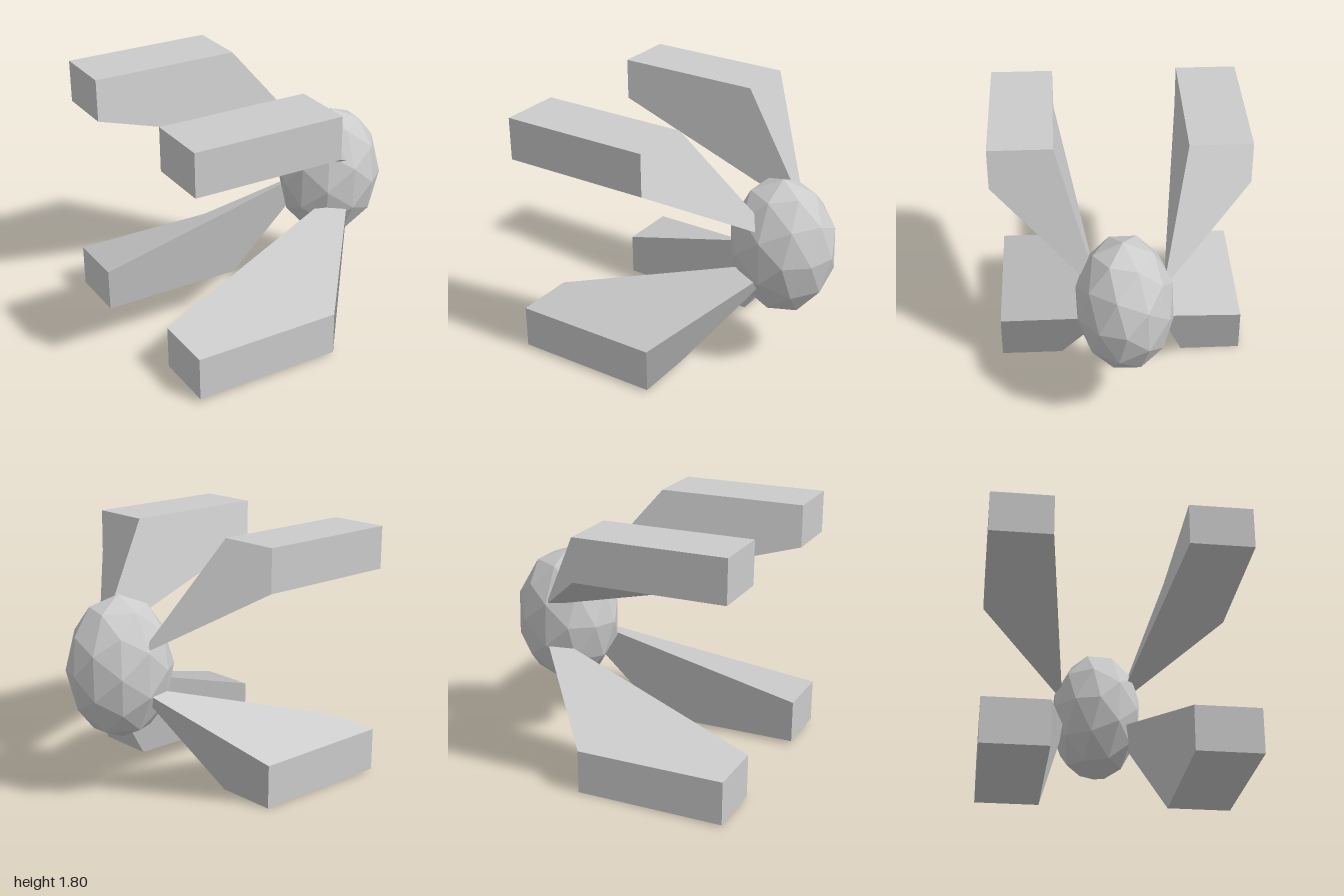
import * as THREE from 'three';

const bodyMaterial = new THREE.MeshStandardMaterial({ color: 0xcccccc, flatShading: true });
const legMaterial = new THREE.MeshStandardMaterial({ color: 0xcccccc });

const CYCLE = [[0, 0], [1, 0], [1, 1], [0, 1]];
const TIP_PARITY = [0, 1, 1]; // place of the tip in the cycle of each axis

// A slightly turned box whose inner +x corner is pulled out to a tip inside the body.
// y and z are given as [inner, outer]. Faces are quads with one normal each;
// "ridged" lists the axes whose faces fold along the diagonal through the tip.
function makeLeg(name, x, y, z, tip, ridged = []) {
  const corner = (i, j, k) => {
    if (i === 1 && j === 0 && k === 0) return new THREE.Vector3(...tip);
    const along = x[i] + 0.45;
    return new THREE.Vector3(x[i] + 0.016 * (z[k] - z[0]), y[j] - 0.009 * along, z[k] - 0.016 * along);
  };
  const centre = new THREE.Vector3();
  for (let n = 0; n < 8; n++) centre.addScaledVector(corner(n & 1, (n >> 1) & 1, n >> 2), 1 / 8);

  const positions = [];
  const normals = [];
  for (let axis = 0; axis < 3; axis++) {
    const start = ridged.includes(axis) ? TIP_PARITY[axis] : 1 - TIP_PARITY[axis];
    for (const side of [0, 1]) {
      let quad = CYCLE.map((_, n) => {
        const index = [side, side, side];
        [index[(axis + 1) % 3], index[(axis + 2) % 3]] = CYCLE[(n + start) % 4];
        return corner(...index);
      });
      const normal = quad[2].clone().sub(quad[0]).cross(quad[3].clone().sub(quad[1])).normalize();
      const middle = new THREE.Vector3();
      quad.forEach((p) => middle.addScaledVector(p, 1 / 4));
      if (normal.dot(middle.sub(centre)) < 0) {
        normal.negate();
        quad = [quad[0], quad[3], quad[2], quad[1]];
      }
      for (const n of [0, 1, 2, 0, 2, 3]) {
        positions.push(...quad[n].toArray());
        normals.push(...normal.toArray());
      }
    }
  }
  const geometry = new THREE.BufferGeometry();
  geometry.setAttribute('position', new THREE.Float32BufferAttribute(positions, 3));
  geometry.setAttribute('normal', new THREE.Float32BufferAttribute(normals, 3));
  const leg = new THREE.Mesh(geometry, legMaterial);
  leg.name = name;
  return leg;
}

export function createModel() {
  const model = new THREE.Group();
  model.name = 'model';

  // Faceted egg-shaped body, its five-sided poles lying along x
  const egg = new THREE.IcosahedronGeometry(1, 1);
  egg.rotateY(Math.atan(2 / (1 + Math.sqrt(5))));
  egg.rotateX(Math.PI);
  egg.scale(0.382, 0.5, 0.34);
  egg.rotateX(0.03);
  const body = new THREE.Mesh(egg, bodyMaterial);
  body.name = 'body';
  body.position.set(0.616, 0.91, -0.017);
  model.add(body);

  // Four tapered legs reaching towards -x
  model.add(
    makeLeg('upperFrontLeg', [-0.975, 0.085], [1.497, 1.796], [0.448, 0.89], [0.67, 1.04, 0.15]),
    makeLeg('upperBackLeg', [-0.993, 0.067], [1.495, 1.795], [-0.455, -0.886], [0.65, 1.05, -0.27], [0]),
    makeLeg('lowerFrontLeg', [-0.97, 0.08], [0.328, 0.022], [0.44, 0.877], [0.71, 0.86, 0.115], [0, 1]),
    makeLeg('lowerBackLeg', [-0.993, 0.055], [0.311, 0.005], [-0.45, -0.884], [0.68, 0.84, -0.25]),
  );

  return model;
}
